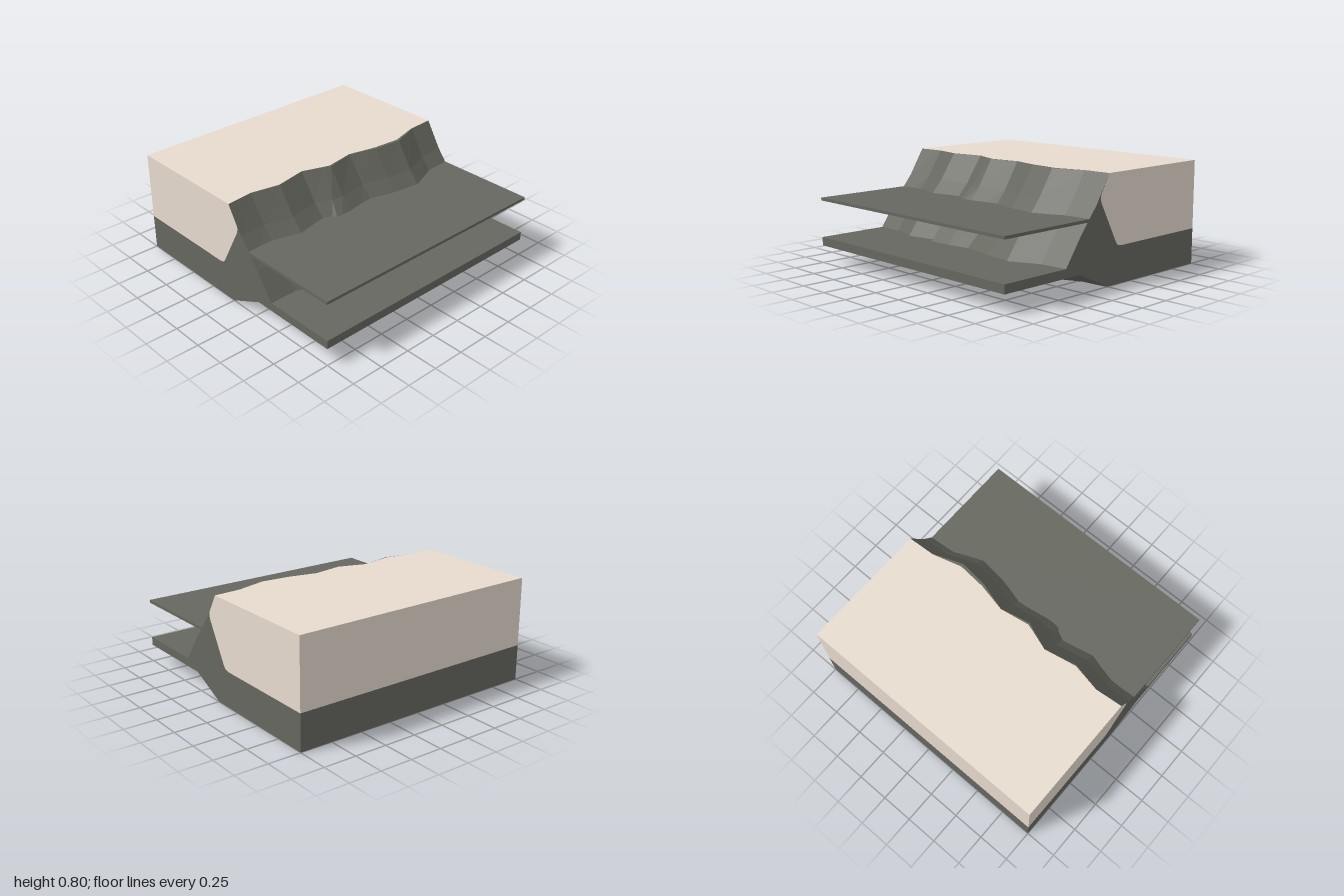
import * as THREE from 'three';

const rock = new THREE.MeshStandardMaterial({ color: 0x66675f, flatShading: true, side: THREE.DoubleSide });
rock.name = 'dark rock';
const sand = new THREE.MeshStandardMaterial({ color: 0xe8dccf, flatShading: true, side: THREE.DoubleSide });
sand.name = 'pale sandstone';

// Cliff columns: x position, and how far each bulges forward low down and at the rim
const xs = [-1, -0.79, -0.57, -0.32, -0.25, -0.11, 0.12, 0.34, 0.56, 0.79, 1];
const lowBulge = [0, 0, 0.065, 0.015, 0.07, 0.062, 0.037, 0.087, 0.117, 0.017, 0];
const rimBulge = [0, -0.02, 0.03, -0.025, 0.035, 0.06, 0.01, 0.075, 0.1, 0.015, 0];
// Cliff rows: height, base depth, share of the rim bulge, and x of the two slanting folds
const rows = [
  { y: 0, z: 0, rim: 0.3, folds: { 4: -0.14, 6: 0.08 } },
  { y: 0.2, z: 0.43, rim: 0, folds: { 4: -0.295, 6: 0.07 } },
  { y: 0.4, z: 0.288, rim: 0, folds: { 4: -0.27, 6: 0.14 } },
  { y: 0.6, z: 0.125, rim: 0.6, folds: { 4: -0.2, 6: 0.13 } },
  { y: 0.8, z: 0, rim: 1, folds: { 4: -0.17, 6: 0.12 } },
];

function cliffPoint(row, i) {
  const bulge = THREE.MathUtils.lerp(lowBulge[i], rimBulge[i], row.rim);
  return new THREE.Vector3(row.folds[i] ?? xs[i], row.y, row.z + bulge);
}

function addMesh(group, name, geometry, material) {
  const mesh = new THREE.Mesh(geometry, material);
  mesh.name = name;
  group.add(mesh);
}

// Faceted strip surface through equal-length lines of points
function loft(lines) {
  const tris = [];
  for (let r = 0; r < lines.length - 1; r++) {
    for (let i = 0; i < lines[r].length - 1; i++) {
      const a = lines[r][i], b = lines[r][i + 1];
      const c = lines[r + 1][i + 1], d = lines[r + 1][i];
      tris.push(a, b, c, a, c, d);
    }
  }
  const geometry = new THREE.BufferGeometry().setFromPoints(tris);
  geometry.computeVertexNormals();
  return geometry;
}

// Flat outline facing up, from [x, z] pairs
function level(points, y) {
  const shape = new THREE.Shape(points.map(([x, z]) => new THREE.Vector2(x, -z)));
  return new THREE.ShapeGeometry(shape).rotateX(-Math.PI / 2).translate(0, y, 0);
}

// Flat outline on an end of the block, from [z, y] pairs
function endCap(points, side) {
  const shape = new THREE.Shape(points.map(([z, y]) => new THREE.Vector2(-side * z, y)));
  return new THREE.ShapeGeometry(shape).rotateY(side * Math.PI / 2).translate(side, 0, 0);
}

export function createModel() {
  const model = new THREE.Group();
  model.name = 'cliffBlock';
  const lines = rows.map((row) => xs.map((_, i) => cliffPoint(row, i)));

  // Undulating rock face, undercut below the lower ledge
  addMesh(model, 'cliffFace', loft(lines), rock);

  // Thin rock rim along the sandstone top
  const rim = lines[4];
  const inner = rim.map((p, i) => new THREE.Vector3(p.x, p.y, p.z - Math.max(0, rimBulge[i] * 0.25)));
  addMesh(model, 'cliffRim', loft([rim, inner]), rock);
  const topOutline = [...inner.map((p) => [p.x, p.z]), [1, -1], [-1, -1]];
  addMesh(model, 'plateauTop', level(topOutline, 0.8), sand);

  // Ends: sandstone sits on a rock bed that climbs towards the cliff
  const bed = [[0.08, 0.665], [0.088, 0.638], [0.08, 0.605], [-0.085, 0.305],
    [-0.105, 0.283], [-0.14, 0.275], [-1, 0.275]];
  const face = rows.map((row) => [row.z, row.y]);
  for (const side of [1, -1]) {
    const prefix = side > 0 ? 'left' : 'right';
    addMesh(model, prefix + 'RockEnd', endCap([...face, ...bed, [-1, 0]], side), rock);
    addMesh(model, prefix + 'SandstoneEnd', endCap([[0, 0.8], ...bed, [-1, 0.8]], side), sand);
  }

  // Back wall in two layers
  const back = (y0, y1) =>
    new THREE.PlaneGeometry(2, y1 - y0).rotateY(Math.PI).translate(0, (y0 + y1) / 2, -1);
  addMesh(model, 'rockBack', back(0, 0.275), rock);
  addMesh(model, 'sandstoneBack', back(0.275, 0.8), sand);

  // Flat ledges: the lower one runs right through and closes the hollow base
  const ledge = (name, y0, y1, z0) =>
    addMesh(model, name, new THREE.BoxGeometry(2, y1 - y0, 1 - z0)
      .translate(0, (y0 + y1) / 2, (1 + z0) / 2), rock);
  ledge('lowerLedge', 0.135, 0.2, -1);
  ledge('upperLedge', 0.485, 0.507, 0.15);

  return model;
}
